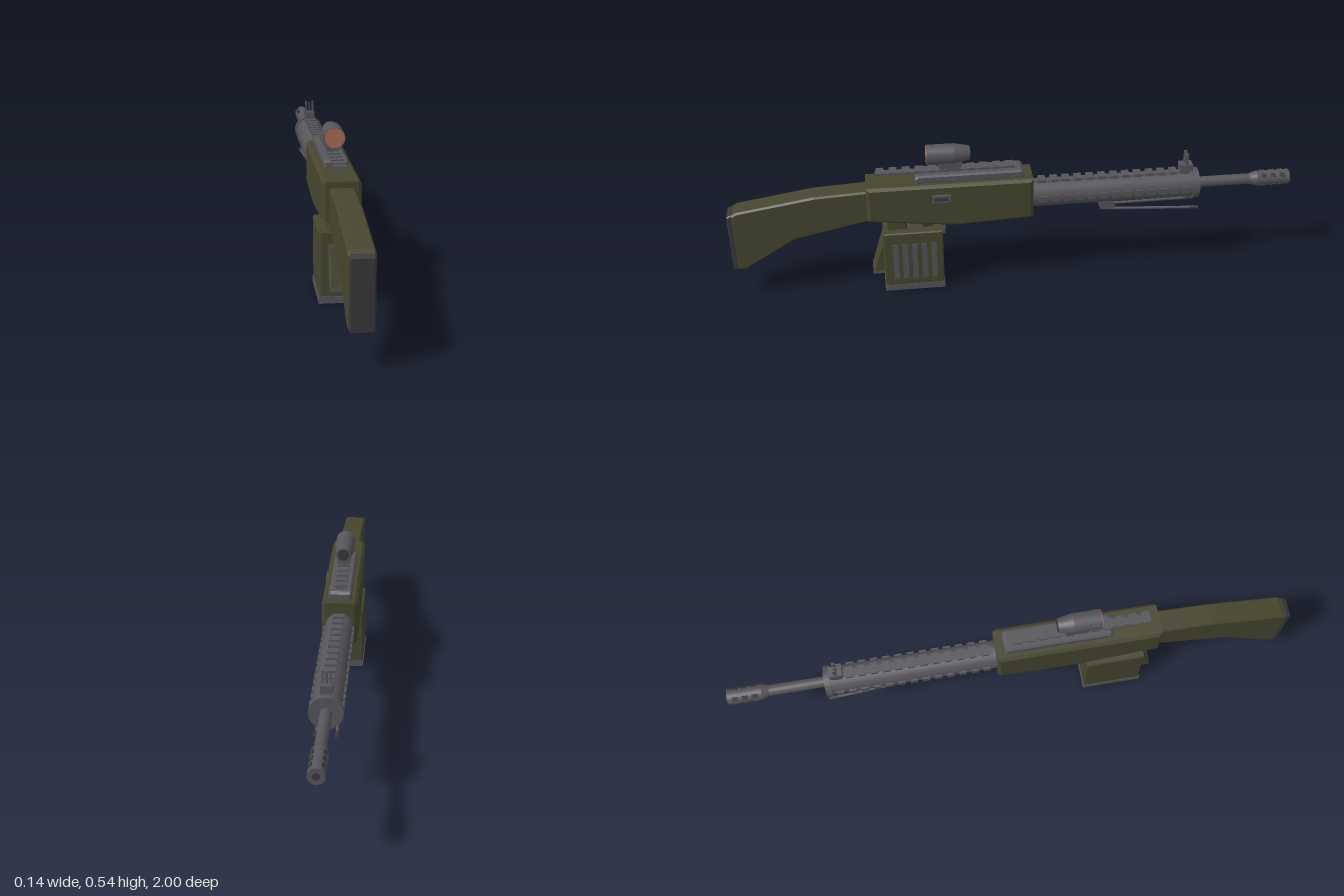
import * as THREE from 'three';

const mat = (name, color) => {
  const m = new THREE.MeshStandardMaterial({ color });
  m.name = name;
  return m;
};

export function createModel() {
  const root = new THREE.Group();
  const olive = mat('olive', 0x46462f);
  const steel = mat('steel', 0x55555a);
  const dark = mat('dark rubber', 0x38383b);
  const copper = mat('copper lens', 0xaa6c55);

  const add = (name, geo, material, parent = root) => {
    const mesh = new THREE.Mesh(geo, material);
    mesh.name = name;
    parent.add(mesh);
    return mesh;
  };
  const group = (name) => {
    const g = new THREE.Group();
    g.name = name;
    root.add(g);
    return g;
  };
  // Box given by its limits on each axis
  const box = (name, x0, x1, y0, y1, z0, z1, material, parent) =>
    add(name, new THREE.BoxGeometry(x1 - x0, y1 - y0, z1 - z0)
      .translate((x0 + x1) / 2, (y0 + y1) / 2, (z0 + z1) / 2), material, parent);
  // Side profile of [z, y] points, extruded across x with chamfered edges
  const slab = (name, points, half, bevel, material, parent) => {
    const shape = new THREE.Shape(points.map(([z, y]) => new THREE.Vector2(z, y)));
    const geo = new THREE.ExtrudeGeometry(shape, {
      depth: 2 * (half - bevel), bevelEnabled: bevel > 0, bevelSize: bevel,
      bevelThickness: bevel, bevelOffset: -bevel, bevelSegments: 1,
    });
    geo.translate(0, 0, -(half - bevel)).rotateY(-Math.PI / 2);
    return add(name, geo, material, parent);
  };
  // Round part along z; rOne at z0, rTwo at z1
  const tube = (name, y, z0, z1, rOne, rTwo, material, parent, sides = 24) =>
    add(name, new THREE.CylinderGeometry(rTwo, rOne, z1 - z0, sides)
      .rotateX(Math.PI / 2).translate(0, y, (z0 + z1) / 2), material, parent);
  // Round rod between two points
  const rod = (name, a, b, r, material, parent) => {
    const path = new THREE.LineCurve3(new THREE.Vector3(...a), new THREE.Vector3(...b));
    const mesh = add(name, new THREE.CylinderGeometry(r, r, path.getLength(), 10), material, parent);
    mesh.position.copy(path.getPoint(0.5));
    mesh.quaternion.setFromUnitVectors(new THREE.Vector3(0, 1, 0), path.getTangent(0));
  };

  // Shoulder stock and butt plate
  slab('stock', [[0.51, 0.28], [0.78, 0.222], [0.955, 0.115], [0.985, 0.115], [0.985, 0.333],
    [0.965, 0.345], [0.7, 0.387], [0.51, 0.397]], 0.04, 0.006, olive);
  slab('buttPlate', [[0.965, 0.113], [1, 0.113], [1, 0.328], [0.985, 0.336], [0.965, 0.336]],
    0.037, 0.004, dark);

  // Receiver with ejection port
  slab('receiver', [[0.52, 0.285], [0.52, 0.417], [-0.06, 0.417], [-0.06, 0.262], [0.22, 0.25]],
    0.062, 0.01, olive);
  box('ejectionPort', 0.058, 0.07, 0.353, 0.381, 0.23, 0.295, steel);
  box('ejectionPortSlot', 0.069, 0.072, 0.361, 0.373, 0.238, 0.287, dark);

  // Top rail with cross teeth
  const rail = group('topRail');
  slab('railBase', [[-0.03, 0.415], [0.35, 0.415], [0.35, 0.436], [0.34, 0.445], [-0.02, 0.445],
    [-0.03, 0.436]], 0.04, 0.006, steel, rail);
  box('railStrip', -0.014, 0.014, 0.444, 0.45, 0, 0.485, steel, rail);
  for (let i = 0; i < 11; i++) {
    const z = 0.005 + i * 0.045;
    box('railTooth', -0.021, 0.021, 0.447, 0.456, z, z + 0.027, steel, rail);
  }

  // Optic
  const scope = group('scope');
  box('scopeClamp', -0.02, 0.02, 0.452, 0.464, 0.19, 0.26, steel, scope);
  box('scopeMount', -0.023, 0.023, 0.462, 0.486, 0.185, 0.265, steel, scope);
  tube('scopeBody', 0.507, 0.21, 0.306, 0.035, 0.035, steel, scope);
  tube('scopeTaper', 0.507, 0.157, 0.21, 0.025, 0.035, steel, scope);
  tube('scopeRearLens', 0.507, 0.305, 0.308, 0.033, 0.033, copper, scope);
  tube('scopeFrontLens', 0.507, 0.155, 0.158, 0.021, 0.021, dark, scope);

  // Handguard with rows of teeth on top and sides
  const guard = group('handguard');
  const axis = 0.33;
  tube('guardTube', axis, -0.645, -0.05, 0.049, 0.049, steel, guard);
  tube('guardCollar', axis, -0.66, -0.638, 0.055, 0.055, steel, guard);
  box('guardRail', -0.013, 0.013, 0.37, 0.381, -0.63, -0.07, steel, guard);
  for (let i = 0; i < 13; i++) {
    const z = -0.625 + i * 0.043;
    box('guardTopTooth', -0.019, 0.019, 0.377, 0.388, z, z + 0.026, steel, guard);
    for (const s of [-1, 1]) {
      const mid = s * 0.049;
      box('guardSideTooth', mid - 0.005, mid + 0.005, axis - 0.011, axis + 0.011,
        z, z + 0.026, steel, guard);
    }
  }

  // Barrel and muzzle brake with side slots
  const barrel = group('barrel');
  tube('barrelTube', axis, -0.9, -0.65, 0.019, 0.019, steel, barrel);
  tube('brakeNeck', axis, -0.88, -0.855, 0.027, 0.02, steel, barrel);
  tube('brakeBody', axis, -1, -0.88, 0.027, 0.027, steel, barrel);
  tube('bore', axis, -1.0005, -0.998, 0.012, 0.012, dark, barrel);
  for (let i = 0; i < 3; i++) {
    for (let k = 0; k < 4; k++) {
      const slot = add('brakeSlot', new THREE.BoxGeometry(0.008, 0.014, 0.02)
        .translate(0.025, 0, 0), dark, barrel);
      slot.position.set(0, axis, -0.972 + i * 0.034);
      slot.rotation.z = Math.PI / 4 + k * Math.PI / 2;
    }
  }

  // Front sight
  const sight = group('frontSight');
  box('sightBase', -0.019, 0.019, 0.385, 0.412, -0.637, -0.592, steel, sight);
  for (const x of [-0.013, 0, 0.013])
    box('sightPost', x - 0.003, x + 0.003, 0.41, x ? 0.455 : 0.45, -0.62, -0.609, steel, sight);

  // Folded bipod
  const bipod = group('bipod');
  box('bipodMount', -0.022, 0.022, 0.255, 0.284, -0.36, -0.308, steel, bipod);
  for (const s of [-1, 1]) {
    rod('bipodLeg', [s * 0.016, 0.255, -0.315], [s * 0.034, 0.246, -0.64], 0.005, steel, bipod);
    rod('bipodFoot', [s * 0.033, 0.246, -0.63], [s * 0.035, 0.245, -0.662], 0.007, dark, bipod);
  }

  // Box magazine with ribs on the left side
  const mag = group('magazine');
  slab('magazineBody', [[0.262, 0.015], [0.472, 0.015], [0.472, 0.237], [0.262, 0.237]],
    0.068, 0.004, olive, mag);
  box('magazineBase', -0.07, 0.07, 0, 0.023, 0.26, 0.475, steel, mag);
  for (let i = 0; i < 5; i++) {
    const z = 0.286 + i * 0.034;
    box('magazineRib', 0.066, 0.0715, 0.05, 0.192, z, z + 0.019, steel, mag);
  }
  box('magazineNeck', -0.03, 0.03, 0.23, 0.262, 0.295, 0.33, dark, mag);

  // Grip behind the magazine, trigger and front catch
  slab('grip', [[0.39, 0.275], [0.452, 0.275], [0.458, 0.237], [0.476, 0.19], [0.514, 0.066],
    [0.46, 0.066], [0.385, 0.23]], 0.039, 0.005, olive);
  box('gripCap', -0.035, 0.035, 0.054, 0.067, 0.46, 0.515, steel);
  slab('trigger', [[0.34, 0.265], [0.355, 0.265], [0.35, 0.225], [0.34, 0.225]], 0.008, 0, steel);
  slab('magazineCatch', [[0.245, 0.26], [0.262, 0.26], [0.262, 0.19], [0.25, 0.19]], 0.011, 0.002, steel);

  return root;
}
